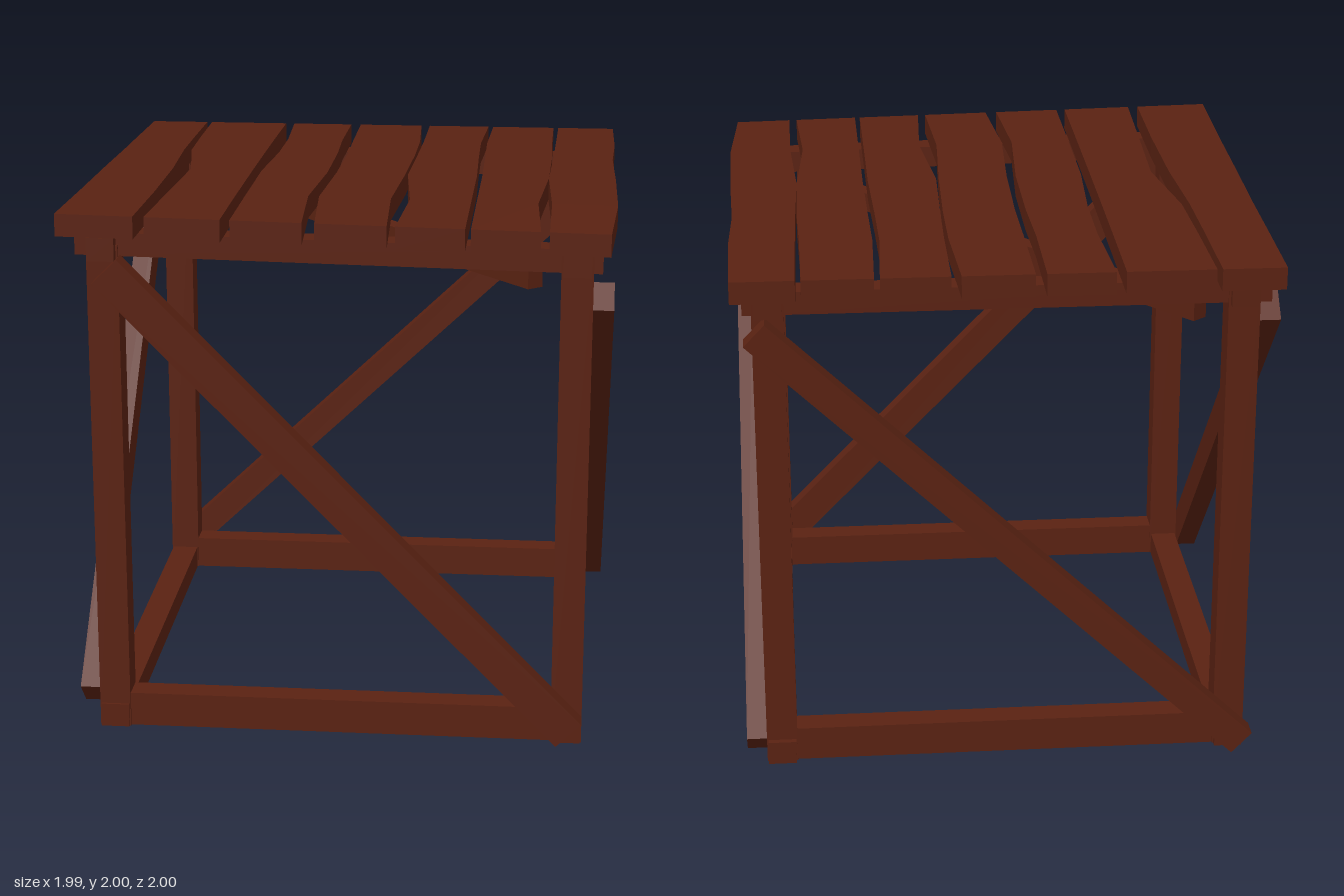
import * as THREE from 'three';

const wood = new THREE.MeshStandardMaterial({ color: 0x5a2212, flatShading: true });

// Square-cut timber from a to b; w is the horizontal thickness, h the other one
function beam(name, a, b, w, h) {
  const from = new THREE.Vector3(...a), to = new THREE.Vector3(...b);
  const mesh = new THREE.Mesh(new THREE.BoxGeometry(w, h, from.distanceTo(to)), wood);
  mesh.name = name;
  mesh.position.copy(from).add(to).multiplyScalar(0.5);
  if (a[0] === b[0] && a[2] === b[2]) mesh.up.set(0, 0, 1);
  mesh.lookAt(to);
  return mesh;
}

// Left and right edge of every plank at each station along z
const stations = [-1, -0.6, -0.3, 0.1, 0.55, 1];
const planks = [
  [[-0.98, -0.98, -0.98, -0.985, -0.99, -1], [-0.75, -0.745, -0.74, -0.72, -0.715, -0.72]],
  [[-0.73, -0.72, -0.71, -0.65, -0.665, -0.68], [-0.41, -0.41, -0.41, -0.41, -0.41, -0.41]],
  [[-0.375, -0.355, -0.355, -0.375, -0.375, -0.375], [-0.13, -0.13, -0.12, -0.12, -0.145, -0.12]],
  [[-0.09, -0.085, -0.08, -0.085, -0.105, -0.075], [0.17, 0.19, 0.19, 0.18, 0.16, 0.18]],
  [[0.205, 0.205, 0.2, 0.19, 0.23, 0.21], [0.455, 0.44, 0.445, 0.455, 0.455, 0.455]],
  [[0.475, 0.465, 0.47, 0.475, 0.475, 0.475], [0.73, 0.73, 0.735, 0.73, 0.7, 0.72]],
  [[0.75, 0.745, 0.74, 0.73, 0.75, 0.75], [0.98, 0.985, 0.975, 0.985, 0.99, 0.965]],
];

// Top surface of the slightly twisted deck
function deckHeight(x, z) {
  const front = 2 - 0.0175 * (x + 1);
  return THREE.MathUtils.lerp(1.955, front, (z + 1) / 2) + 0.006 * (1 - z * z);
}

function plank([left, right]) {
  const geo = new THREE.BoxGeometry(1, 1, 1, 1, 1, stations.length - 1);
  const p = geo.attributes.position;
  for (let i = 0; i < p.count; i++) {
    const k = Math.round((p.getZ(i) + 0.5) * (stations.length - 1));
    const x = p.getX(i) < 0 ? left[k] : right[k];
    const z = stations[k];
    p.setXYZ(i, x, deckHeight(x, z) - (p.getY(i) < 0 ? 0.082 : 0), z);
  }
  geo.computeVertexNormals();
  const mesh = new THREE.Mesh(geo, wood);
  mesh.name = 'topPlank';
  return mesh;
}

export function createModel() {
  const model = new THREE.Group();
  model.name = 'woodenTable';

  // Deck of uneven planks
  const deck = new THREE.Group();
  deck.name = 'deck';
  planks.forEach((edges) => deck.add(plank(edges)));
  model.add(deck);

  // Corner legs
  for (const x of [-0.85, 0.85]) {
    for (const z of [-0.845, 0.858]) model.add(beam('leg', [x, 0, z], [x, 1.87, z], 0.115, 0.115));
  }

  // Rails lapping at the corners, upper ones following the deck
  for (const z of [-0.845, 0.855]) {
    const y = z > 0 ? 1.873 : 1.835;
    model.add(beam('topRail', [-0.95, y, z], [0.94, z > 0 ? 1.842 : y, z], 0.1, 0.085));
    model.add(beam('bottomRail', [-0.9, 0.065, z], [0.9, 0.065, z], 0.1, 0.13));
  }
  for (const x of [-0.85, 0.85]) {
    model.add(beam('topSideRail', [x, x < 0 ? 1.86 : 1.838, 0.95], [x, 1.83, -0.93], 0.1, 0.085));
    model.add(beam('bottomSideRail', [x, 0.045, 0.925], [x, 0.045, -0.925], 0.105, 0.09));
  }

  // Diagonal braces on the four sides
  model.add(
    beam('frontBrace', [-0.83, 1.79, 0.955], [0.86, 0.06, 0.955], 0.08, 0.13),
    beam('backBrace', [-0.89, 0.045, -0.95], [0.9, 1.75, -0.95], 0.08, 0.11),
    beam('rightSideBrace', [0.945, 1.71, 0.87], [0.945, 0.06, -0.87], 0.075, 0.115),
    beam('leftSideBrace', [-0.95, 0.09, 0.83], [-0.95, 1.76, -0.83], 0.08, 0.13),
  );

  // Flat diagonal brace beneath the deck
  model.add(beam('underDeckBrace', [-0.7, 1.75, -0.84], [0.7, 1.765, 0.84], 0.065, 0.075));

  return model;
}
